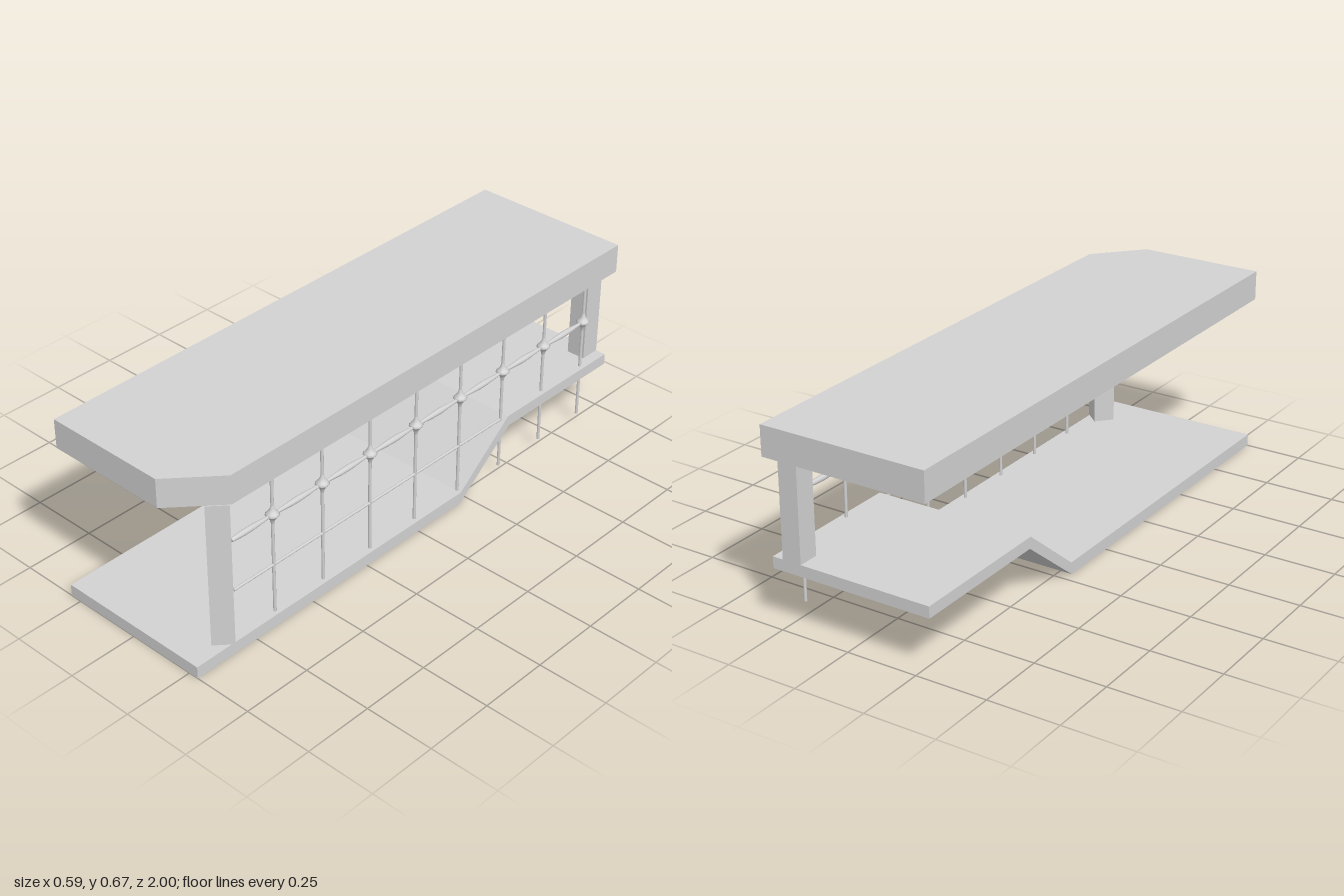
import * as THREE from 'three';

export function createModel() {
  const model = new THREE.Group();
  model.name = 'balconySection';
  const concrete = new THREE.MeshStandardMaterial({ color: 0xd2d2d2 });
  concrete.name = 'light grey';

  const add = (name, geometry, x = 0, y = 0, z = 0, parent = model) => {
    const mesh = new THREE.Mesh(geometry, concrete);
    mesh.name = name;
    mesh.position.set(x, y, z);
    parent.add(mesh);
    return mesh;
  };
  const extrude = (points, depth) => new THREE.ExtrudeGeometry(
    new THREE.Shape(points.map(([a, b]) => new THREE.Vector2(a, b))),
    { depth, bevelEnabled: false });
  const lathe = (points, sides = 10) => new THREE.LatheGeometry(
    points.map(([r, y]) => new THREE.Vector2(r, y)), sides);

  // Roof slab with one cut corner, outline in (x, -z)
  const roof = extrude([[-0.297, -1], [0.15, -1], [0.295, -0.84], [0.295, 1], [-0.297, 1]], 0.104);
  roof.rotateX(-Math.PI / 2);
  add('roof', roof, 0, 0.568, 0);

  // Floor slab stepping up along a ramp, outline in (z, y)
  const floor = extrude([
    [1, 0], [1, 0.043], [-0.213, 0.043], [-0.45, 0.235],
    [-0.985, 0.235], [-0.985, 0.195], [-0.455, 0.195], [-0.21, 0]], 0.579);
  floor.rotateY(-Math.PI / 2);
  add('floor', floor, 0.286, 0, 0);

  // Pillars: the front one is turned to follow the cut roof corner
  const frontPillar = add('frontPillar', new THREE.BoxGeometry(0.074, 0.525, 0.074), 0.2415, 0.3055, 0.849);
  frontPillar.rotation.y = 0.833;
  add('rearPillar', new THREE.BoxGeometry(0.069, 0.333, 0.074), 0.213, 0.4015, -0.948);

  // Railing: evenly spaced posts with a pointed knot on each
  const railing = new THREE.Group();
  railing.name = 'railing';
  model.add(railing);
  const railX = 0.267, railY = 0.415, pitch = 0.2165, first = 0.65, rodR = 0.0055;
  const post = new THREE.CylinderGeometry(rodR, rodR, 0.533, 10);
  const knot = lathe([
    [rodR, -0.034], [0.008, -0.022], [0.013, -0.013], [0.019, -0.006], [0.024, 0],
    [0.019, 0.006], [0.013, 0.013], [0.008, 0.022], [rodR, 0.034]]);
  for (let i = 0; i < 8; i++) {
    const z = first - i * pitch;
    add('post', post, railX, 0.3015, z, railing);
    add('knot', knot, railX, railY, z, railing);
  }

  // Upper rail swelling between the knots
  const start = first - 7 * pitch, end = 0.82, steps = 94;
  const profile = [[0, start]];
  for (let i = 0; i <= steps; i++) {
    const z = start + (end - start) * i / steps;
    profile.push([0.005 + 0.0055 * Math.sin(Math.PI * (z - first) / pitch) ** 2, z]);
  }
  profile.push([0, end]);
  const upperRail = lathe(profile);
  upperRail.rotateX(Math.PI / 2);
  add('upperRail', upperRail, railX, railY - 0.002, 0, railing);

  // Plain lower rail
  const lowerRail = new THREE.CylinderGeometry(0.005, 0.005, end - start, 10);
  lowerRail.rotateX(Math.PI / 2);
  add('lowerRail', lowerRail, railX, 0.224, (start + end) / 2, railing);

  return model;
}
